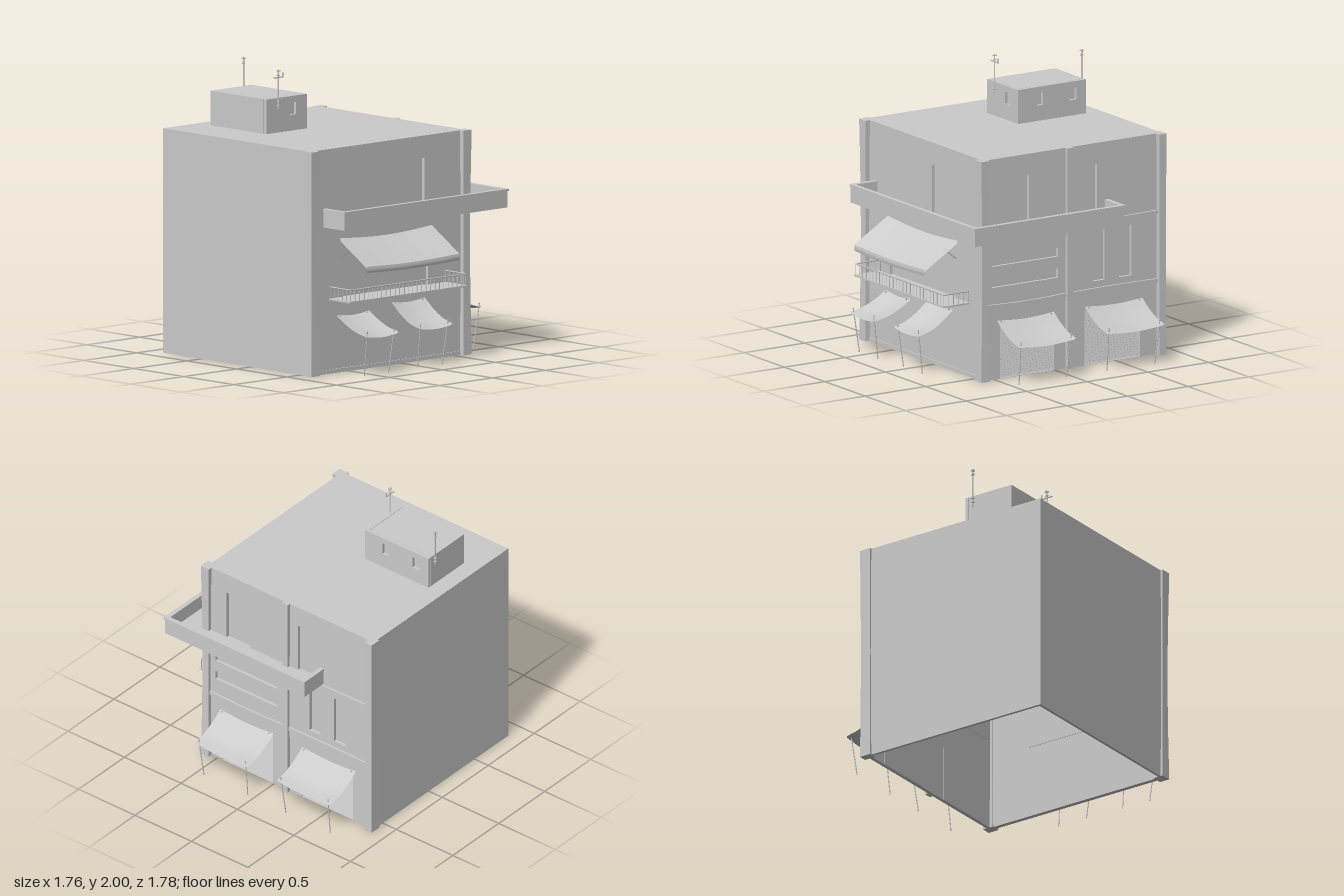
import * as THREE from 'three';
import { ParametricGeometry } from 'three/addons/geometries/ParametricGeometry.js';

const grey = new THREE.MeshStandardMaterial({ color: 0xcccccc });
const flat = new THREE.MeshStandardMaterial({ color: 0xcccccc, flatShading: true });
const sheetMat = new THREE.MeshStandardMaterial({ color: 0xcccccc, side: THREE.DoubleSide });

function add(parent, name, geo, mat = grey) {
  const m = new THREE.Mesh(geo, mat);
  m.name = name;
  parent.add(m);
  return m;
}

// Box given by its two extreme corners
function box(parent, name, x0, x1, y0, y1, z0, z1) {
  const m = add(parent, name, new THREE.BoxGeometry(x1 - x0, y1 - y0, z1 - z0));
  m.position.set((x0 + x1) / 2, (y0 + y1) / 2, (z0 + z1) / 2);
  return m;
}

// Thin round bar between two points
function rod(parent, name, a, b, r = 0.004) {
  const p = new THREE.Vector3(...a), q = new THREE.Vector3(...b);
  const m = add(parent, name, new THREE.CylinderGeometry(r, r, p.distanceTo(q), 6));
  m.position.copy(p).lerp(q, 0.5);
  m.quaternion.setFromUnitVectors(new THREE.Vector3(0, 1, 0), q.sub(p).normalize());
  return m;
}

function polygon(points) {
  return new THREE.Shape(points.map(([x, y]) => new THREE.Vector2(x, y)));
}
const rect = (x0, x1, y0, y1) => [[x0, y0], [x1, y0], [x1, y1], [x0, y1]];

// Wall facing local +z at z = 0, with recessed openings [x0, x1, y0, y1]
function wall(name, x0, x1, y0, y1, openings) {
  const g = new THREE.Group();
  g.name = name;
  const s = polygon(rect(x0, x1, y0, y1));
  for (const o of openings) s.holes.push(new THREE.Path(polygon(rect(...o)).getPoints()));
  add(g, name + 'Surface', new THREE.ExtrudeGeometry(s, { depth: 0.025, bevelEnabled: false })).position.z = -0.025;
  for (const [a, b, c, d] of openings) box(g, 'recessedPanel', a, b, c, d, -0.029, -0.022);
  return g;
}

// Corner pillar, pinched a little at mid height
function pillar(parent, name, x0, x1, z0, z1, pinch = 0.22) {
  const geo = new THREE.BoxGeometry(x1 - x0, 1.56, z1 - z0, 1, 8, 1);
  const p = geo.attributes.position;
  for (let i = 0; i < p.count; i++) {
    const k = 1 - pinch * Math.sin(Math.PI * (p.getY(i) / 1.56 + 0.5));
    p.setX(i, p.getX(i) * k);
    p.setZ(i, p.getZ(i) * k);
  }
  geo.computeVertexNormals();
  add(parent, name, geo, flat).position.set((x0 + x1) / 2, 0.78, (z0 + z1) / 2);
}

// Wavy horizontal ledge along local x
function ledge(parent, x0, x1, y0, y1, sag) {
  const geo = new THREE.BoxGeometry(x1 - x0, y1 - y0, 0.018, 10, 1, 1);
  const p = geo.attributes.position;
  for (let i = 0; i < p.count; i++) p.setY(i, p.getY(i) - sag * Math.cos(Math.PI * p.getX(i) / (x1 - x0)));
  add(parent, 'ledge', geo, flat).position.set((x0 + x1) / 2, (y0 + y1) / 2, 0.006);
}

// Cloth hung from the wall: profile is a list of [out, y], sagging between its ends
function cloth(parent, name, x0, x1, profile, sag, thick) {
  const curve = new THREE.CatmullRomCurve3(profile.map(([z, y]) => new THREE.Vector3(0, y, z)));
  for (const drop of [0, thick]) {
    add(parent, name, new ParametricGeometry((u, v, t) => {
      curve.getPoint(v, t);
      t.x = x0 + u * (x1 - x0);
      t.y -= drop + sag * Math.sin(Math.PI * u);
    }, 12, 10), sheetMat);
  }
}

// Small awning on two leaning poles
function poleAwning(parent, x0, x1, top, reach) {
  const g = new THREE.Group();
  g.name = 'smallAwning';
  const end = 0.285;
  cloth(g, 'awningCloth', x0, x1,
    [[0, top], [reach * 0.3, top - (top - end) * 0.45], [reach * 0.65, top - (top - end) * 0.82], [reach, end]], 0.015, 0.008);
  for (const [x, lean] of [[x0 + 0.02, 0.012], [x1 - 0.03, -0.015]]) {
    rod(g, 'awningPole', [x, 0.315, reach - 0.012], [x + lean, 0, reach - 0.055]);
    rod(g, 'wallHook', [x, top - 0.01, 0], [x, top - 0.005, 0.02], 0.006);
  }
  parent.add(g);
}

// Roll-down shutter made of tilted slats
function shutter(parent, x0, x1) {
  for (let y = 0.012; y < 0.39; y += 0.018) {
    const m = box(parent, 'shutterSlat', x0, x1, y - 0.008, y + 0.008, -0.022, -0.01);
    m.rotation.x = -0.3;
  }
}

function antenna(parent, x, z, cross) {
  const g = new THREE.Group();
  g.name = 'antenna';
  rod(g, 'mast', [0, 1.72, 0], [0, 2, 0], 0.005);
  for (const [y, l] of [[1.99, 0.016], [1.96, 0.012]]) {
    rod(g, 'shortArm', [-l, y, 0], [l, y, 0], 0.004);
    rod(g, 'shortArm', [0, y, -l], [0, y, l], 0.004);
  }
  for (const y of [1.75, 1.78]) box(g, 'bracket', -0.008, 0.008, y - 0.004, y + 0.004, -0.012, 0.012);
  if (cross) {
    rod(g, 'crossArm', [-0.045, 1.945, 0], [0.045, 1.945, 0], 0.005);
    rod(g, 'armTip', [0.04, 1.945, 0], [0.04, 1.975, 0], 0.005);
  }
  g.position.set(x, 0, z);
  parent.add(g);
}

export function createModel() {
  const model = new THREE.Group();
  model.name = 'cornerBuilding';

  // Shell, open underneath
  const front = wall('frontWall', -0.866, 0.6, 0, 1.56, [[-0.04, 0.215, 1.04, 1.405], [-0.56, 0.25, 0.52, 0.86]]);
  front.position.z = 0.59;
  const right = wall('sideWall', -0.59, 0.88, 0, 1.56, [
    [-0.455, -0.01, 0.003, 0.4], [0.245, 0.7, 0.003, 0.4],
    [-0.52, 0.025, 0.8, 0.865], [-0.52, 0.025, 0.65, 0.715],
    [0.315, 0.41, 0.585, 0.94], [0.53, 0.63, 0.585, 0.94],
    [-0.42, -0.215, 1.04, 1.41], [0.21, 0.345, 1.04, 1.41]]);
  right.rotation.y = Math.PI / 2;
  right.position.x = 0.6;
  model.add(front, right);
  box(model, 'backWall', -0.866, 0.6, 0, 1.56, -0.88, -0.86);
  box(model, 'leftWall', -0.866, -0.846, 0, 1.56, -0.88, 0.59);
  box(model, 'roof', -0.866, 0.6, 1.54, 1.56, -0.88, 0.59);
  box(front, 'plinth', -0.82, 0.56, 0, 0.027, 0, 0.008);

  // Pillars
  pillar(model, 'frontLeftPillar', -0.885, -0.808, 0.55, 0.628);
  pillar(model, 'frontRightPillar', 0.55, 0.63, 0.555, 0.625);
  pillar(model, 'backRightPillar', 0.555, 0.64, -0.895, -0.835, 0.12);
  pillar(model, 'middlePillar', 0.58, 0.625, -0.14, -0.085, 0.1);

  // Ledges between the side pillars
  ledge(right, -0.57, 0.085, 0.935, 0.968, 0.004);
  ledge(right, -0.57, 0.085, 0.508, 0.535, 0.008);
  ledge(right, 0.135, 0.84, 0.995, 1.02, 0.004);
  ledge(right, 0.135, 0.84, 0.508, 0.535, -0.004);

  // Wrap-around balcony: floor, parapet and coping
  const slab = (name, pts, y0, y1) => {
    const geo = new THREE.ExtrudeGeometry(polygon(pts.map(([x, z]) => [x, -z])), { depth: y1 - y0, bevelEnabled: false });
    geo.rotateX(-Math.PI / 2);
    add(model, name, geo).position.y = y0;
  };
  const outer = (e) => [[-0.735 - e, 0.59], [-0.735 - e, 0.797 + e], [0.807 + e, 0.797 + e], [0.807 + e, -0.435 - e], [0.6, -0.435 - e]];
  const ring = (e, t) => [...outer(e),
    [0.6, -0.435 + t], [0.807 - t, -0.435 + t], [0.807 - t, 0.797 - t], [-0.735 + t, 0.797 - t], [-0.735 + t, 0.59]];
  slab('balconyFloor', [...outer(0), [0.6, 0.59]], 1.02, 1.04);
  slab('balconyParapet', ring(0, 0.022), 1.04, 1.135);
  slab('balconyCoping', ring(0.007, 0.026), 1.135, 1.15);

  // Narrow railed balcony on the front
  box(front, 'railBalconyFloor', -0.685, 0.425, 0.51, 0.521, 0, 0.212);
  const railPts = [[-0.675, 0], [-0.675, 0.205], [0.415, 0.205], [0.415, 0]];
  for (let i = 0; i < 3; i++) {
    const [[ax, az], [bx, bz]] = [railPts[i], railPts[i + 1]];
    rod(front, 'handrail', [ax, 0.6, az], [bx, 0.6, bz], 0.005);
    const n = Math.round(Math.hypot(bx - ax, bz - az) / 0.042);
    for (let k = 0; k <= n; k++) {
      const x = ax + (bx - ax) * k / n, z = az + (bz - az) * k / n;
      rod(front, 'baluster', [x, 0.515, z], [x, 0.6, z], 0.003);
    }
  }

  // Large front awning with valance and struts
  cloth(front, 'largeAwning', -0.585, 0.285, [[0, 0.93], [0.14, 0.845], [0.275, 0.762]], 0.022, 0.015);
  cloth(front, 'awningValance', -0.585, 0.285, [[0.275, 0.762], [0.278, 0.74], [0.275, 0.72]], 0.012, 0.002);
  for (const x of [-0.56, 0.26]) rod(front, 'awningStrut', [x, 0.8, 0], [x, 0.865, 0.08]);

  // Pole awnings and shutters
  poleAwning(front, -0.61, -0.305, 0.4, 0.295);
  poleAwning(front, -0.09, 0.22, 0.435, 0.277);
  poleAwning(right, -0.475, -0.01, 0.415, 0.275);
  poleAwning(right, 0.25, 0.72, 0.415, 0.275);
  shutter(right, -0.455, -0.01);
  shutter(right, 0.245, 0.7);

  // Rooftop room with recessed windows
  const roomFront = wall('roomFront', -0.535, -0.15, 1.56, 1.8, [[-0.315, -0.255, 1.67, 1.755]]);
  roomFront.position.z = -0.195;
  const roomSide = wall('roomSide', 0.195, 0.755, 1.56, 1.8, [[0.35, 0.4, 1.67, 1.755], [0.615, 0.675, 1.67, 1.755]]);
  roomSide.rotation.y = Math.PI / 2;
  roomSide.position.x = -0.15;
  model.add(roomFront, roomSide);
  box(model, 'roomBody', -0.535, -0.178, 1.56, 1.8, -0.755, -0.223);
  antenna(model, -0.43, -0.187, true);
  antenna(model, -0.215, -0.762, false);

  return model;
}
